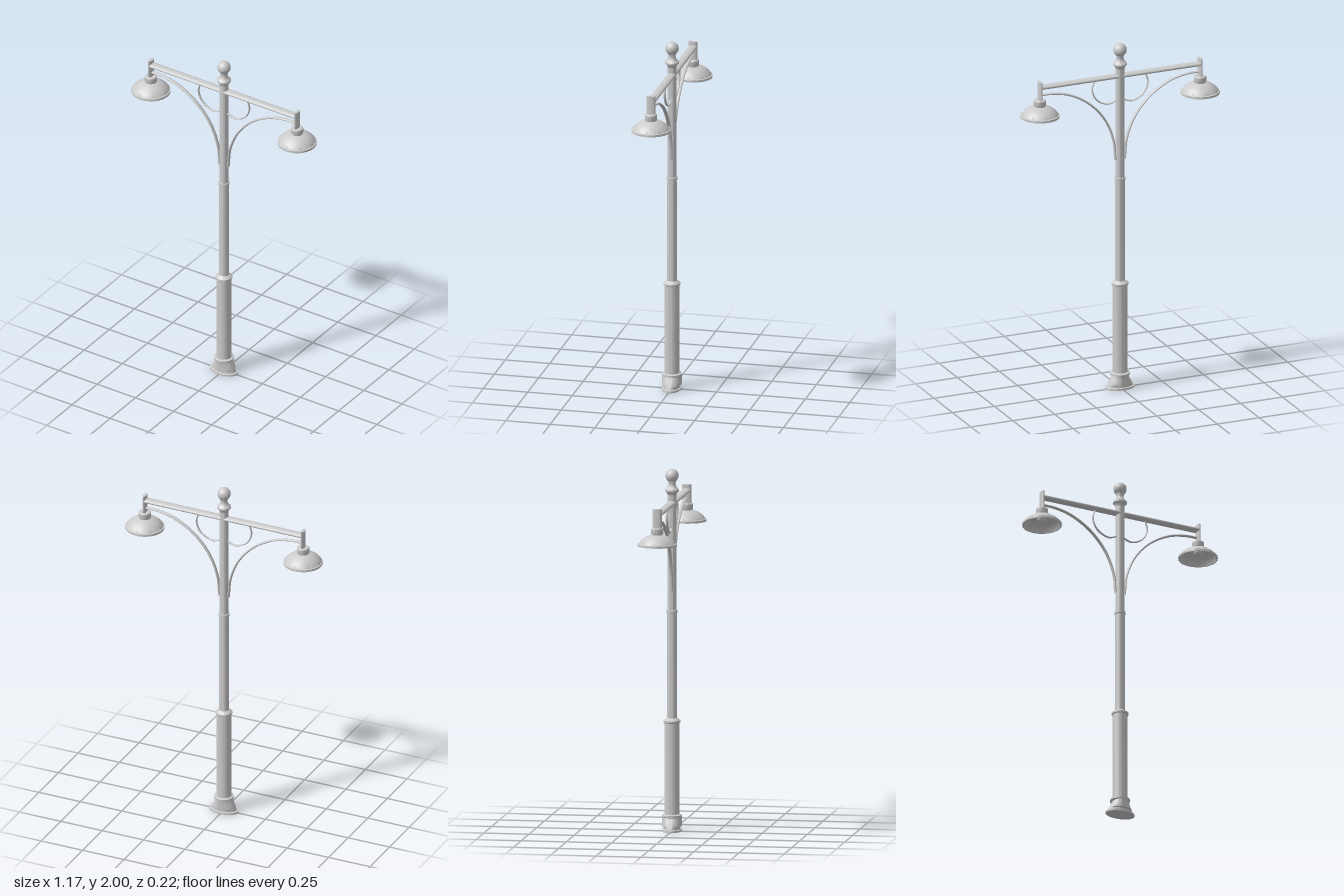
import * as THREE from 'three';
import { toCreasedNormals } from 'three/addons/utils/BufferGeometryUtils.js';

const material = new THREE.MeshStandardMaterial({ color: 0xcccccc });

function add(parent, name, geometry) {
  const mesh = new THREE.Mesh(geometry, material);
  mesh.name = name;
  parent.add(mesh);
  return mesh;
}

// Turned solid from rows of [y, radiusX, radiusZ]; radiusZ defaults to radiusX.
function turned(rows, segments = 40) {
  const points = rows.map(([y, rx]) => new THREE.Vector2(rx, y));
  const geometry = new THREE.LatheGeometry(points, segments);
  const pos = geometry.attributes.position;
  for (let i = 0; i < pos.count; i++) {
    const [, rx, rz = rx] = rows[i % rows.length];
    if (rx > 0) pos.setZ(i, pos.getZ(i) * rz / rx);
  }
  return toCreasedNormals(geometry, 0.6);
}

// Rod with an oval section, standing on y from bottom to top.
const ovalRod = (bottom, top, rx, rz) =>
  turned([[bottom, 0], [bottom, rx, rz], [top, rx, rz], [top, 0]], 28);

// Bent rod through [x, y] points, mirrored by side and widened in z.
function bentRod(points, side, radius, widen) {
  const curve = new THREE.CatmullRomCurve3(
    points.map(([x, y]) => new THREE.Vector3(x * side, y, 0)));
  return new THREE.TubeGeometry(curve, 48, radius, 10).scale(1, 1, widen);
}

export function createModel() {
  const model = new THREE.Group();
  model.name = 'streetLamp';

  // Oval flared foot
  add(model, 'base', turned([
    [0, 0], [0, 0.085, 0.053], [0.01, 0.085, 0.053], [0.012, 0.074, 0.045],
    [0.024, 0.07, 0.045], [0.028, 0.068, 0.053], [0.05, 0.055, 0.055],
    [0.076, 0.043, 0.054], [0.08, 0.055, 0.055], [0.09, 0.055, 0.055],
    [0.095, 0.042], [0.095, 0],
  ]));

  // Wide lower shaft with its collar, then the slender upper shaft
  add(model, 'lowerShaft', turned([
    [0.085, 0.042], [0.598, 0.042], [0.602, 0.046], [0.612, 0.046],
    [0.626, 0.028], [0.626, 0],
  ]));
  add(model, 'upperShaft', turned([
    [0.61, 0.027], [1.206, 0.026], [1.208, 0.03], [1.222, 0.03],
    [1.224, 0.025], [1.86, 0.025],
  ]));

  // Finial: moulded collar, waist and ball
  add(model, 'finialCollar', turned([
    [1.855, 0.025], [1.868, 0.029], [1.876, 0.038], [1.886, 0.038],
    [1.896, 0.028], [1.908, 0.021], [1.922, 0.02], [1.935, 0.024], [1.945, 0.02],
  ]));
  add(model, 'finialBall', new THREE.SphereGeometry(0.037, 32, 20)).position.y = 1.963;

  // Crossbar
  const bar = add(model, 'crossbar', ovalRod(-0.475, 0.475, 0.012, 0.025));
  bar.rotation.z = Math.PI / 2;
  bar.position.y = 1.813;

  for (const side of [1, -1]) {
    const arm = new THREE.Group();
    arm.name = side > 0 ? 'leftArm' : 'rightArm';
    model.add(arm);

    // Sweeping brace and small scroll beneath the bar
    add(arm, 'brace', bentRod([
      [0.475, 1.768], [0.4, 1.766], [0.3, 1.743], [0.18, 1.672],
      [0.088, 1.565], [0.04, 1.445], [0.028, 1.33],
    ], side, 0.006, 1.8));
    add(arm, 'scroll', bentRod([
      [0.152, 1.81], [0.166, 1.75], [0.138, 1.69], [0.072, 1.658], [0.015, 1.675],
    ], side, 0.004, 1.8));

    // Hanging lamp
    const lamp = new THREE.Group();
    lamp.name = 'lamp';
    lamp.position.x = side * 0.478;
    arm.add(lamp);
    add(lamp, 'hanger', ovalRod(1.72, 1.845, 0.01, 0.026));
    add(lamp, 'socketCap', turned([
      [1.702, 0.03], [1.712, 0.034], [1.738, 0.034], [1.742, 0.031], [1.742, 0],
    ]));
    // Hollow shade: inner wall down to the rim, outer wall back up
    add(lamp, 'shade', turned([
      [1.698, 0], [1.698, 0.03], [1.688, 0.06], [1.672, 0.084], [1.656, 0.097],
      [1.643, 0.102], [1.643, 0.108], [1.655, 0.108], [1.657, 0.101], [1.674, 0.09],
      [1.692, 0.066], [1.705, 0.036], [1.708, 0],
    ]));
    add(lamp, 'bulb', new THREE.SphereGeometry(0.026, 24, 14)).position.y = 1.685;
  }
  return model;
}
